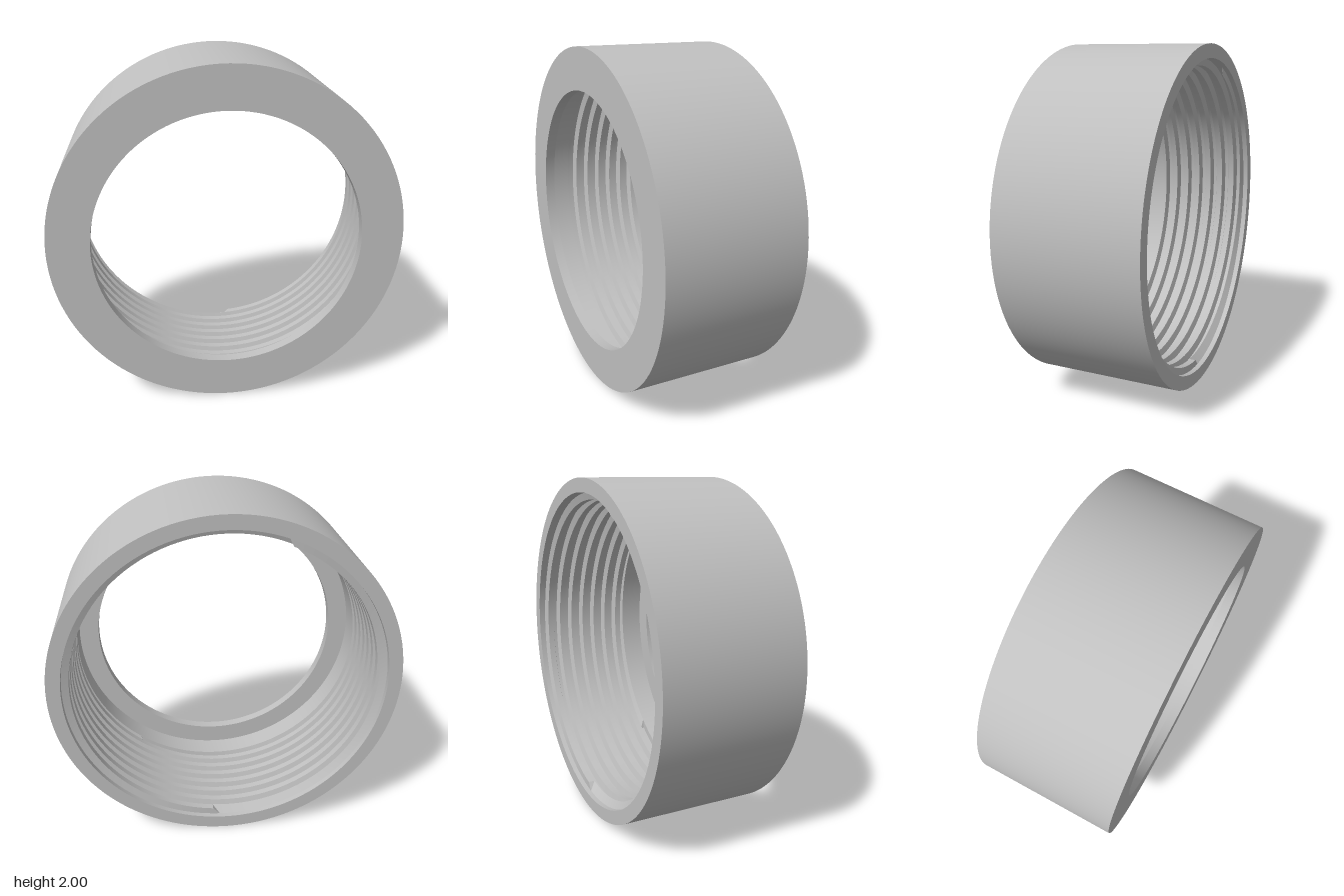
import * as THREE from 'three';
import { toCreasedNormals } from 'three/addons/utils/BufferGeometryUtils.js';

const SEGMENTS = 128;
const LIP_R = 0.76, CREST_R = 0.88, ROOT_R = 0.92;
const HALF_DEPTH = 0.41, LIP_BACK = 0.35;
const THREAD_FRONT = 0.21, THREAD_BACK = -0.38, PITCH = 0.085;

// Revolve [radius, height] points; the axis is y until finish() turns it to z
const revolve = (points) =>
  new THREE.LatheGeometry(points.map(([r, y]) => new THREE.Vector2(r, y)), SEGMENTS);

const finish = (geometry) => toCreasedNormals(geometry.rotateX(Math.PI / 2), Math.PI / 7);

// Outer wall, front lip and smooth relief band behind the lip
function collarGeometry() {
  return finish(revolve([
    [ROOT_R, THREAD_BACK], [ROOT_R, -HALF_DEPTH], [1, -HALF_DEPTH], [1, HALF_DEPTH],
    [LIP_R, HALF_DEPTH], [LIP_R, LIP_BACK], [CREST_R, LIP_BACK], [CREST_R, THREAD_FRONT],
  ]));
}

// Right-handed internal thread: a revolved tooth profile sheared into a helix
function threadGeometry() {
  const tooth = [[CREST_R, 0], [CREST_R, 0.45], [ROOT_R, 0.6], [ROOT_R, 0.85]];
  const turns = Math.ceil((THREAD_FRONT - THREAD_BACK) / PITCH) + 2;
  const points = [];
  for (let i = 0; i < turns; i++) {
    for (const [r, t] of tooth) points.push([r, THREAD_FRONT + PITCH * (0.5 - i - t)]);
  }
  const geometry = revolve(points);
  const { position, uv } = geometry.attributes;
  for (let i = 0; i < position.count; i++) {
    const angle = uv.getX(i) * Math.PI * 2;
    let y = position.getY(i) + PITCH * uv.getX(i);
    let r = Math.hypot(position.getX(i), position.getZ(i));
    // Run the thread out flush with the bands at both ends
    if (y >= THREAD_FRONT) { y = THREAD_FRONT; r = CREST_R; }
    if (y <= THREAD_BACK) { y = THREAD_BACK; r = ROOT_R; }
    position.setXYZ(i, r * Math.sin(angle), y, r * Math.cos(angle));
  }
  return finish(geometry);
}

export function createModel() {
  const metal = new THREE.MeshStandardMaterial({ color: 0xc0c0c0 });
  metal.name = 'grey metal';

  const model = new THREE.Group();
  model.name = 'threadedRing';
  const parts = { collar: collarGeometry(), internalThread: threadGeometry() };
  for (const [name, geometry] of Object.entries(parts)) {
    const mesh = new THREE.Mesh(geometry, metal);
    mesh.name = name;
    mesh.position.y = 1;
    model.add(mesh);
  }
  return model;
}
